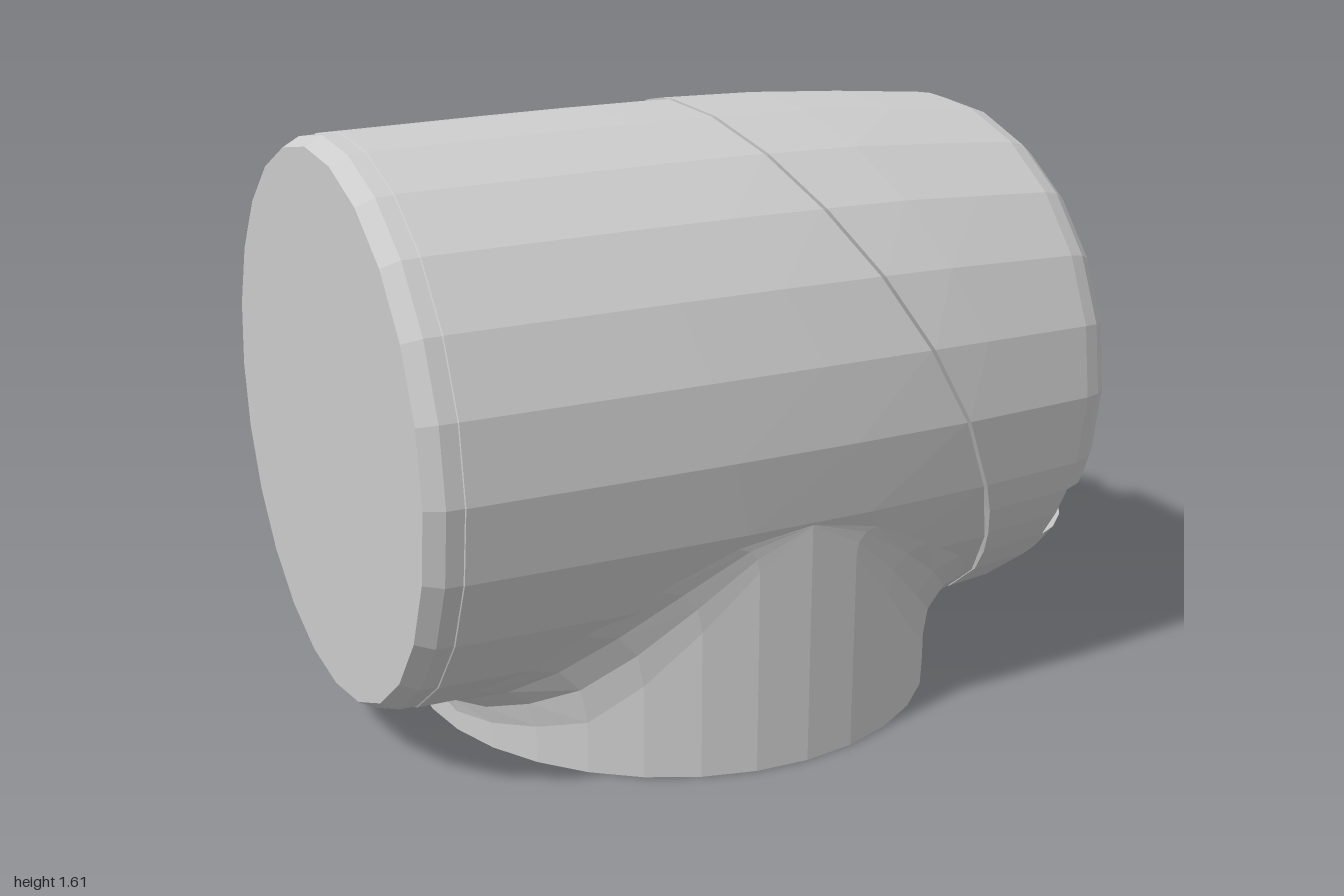
import * as THREE from 'three';

const CY = 0.845, GAP = 0.012, BASE_R = 0.735;
const lerp = THREE.MathUtils.lerp;

// piecewise linear lookup through [key, value] pairs
function lookup(points, k) {
  let i = 1;
  while (i < points.length - 1 && k > points[i][0]) i++;
  const [a, b] = [points[i - 1], points[i]];
  return lerp(a[1], b[1], (k - a[0]) / (b[0] - a[0]));
}
const bodyRadius = x => lookup([[-0.91, 0.735], [-0.3, 0.757], [0, 0.764], [0.4, 0.764], [0.87, 0.735]], x);
const seamX = y => lookup([[0.08, 0.75], [0.3, 0.68], [0.55, 0.58], [0.9, 0.42], [1.2, 0.25], [1.61, 0]], y);

// surface through columns of points; each column has the same number of rows
function skin(name, columns, material) {
  const rows = columns[0].length, index = [];
  for (let i = 0; i < columns.length - 1; i++)
    for (let j = 0; j < rows - 1; j++) {
      const a = i * rows + j, b = a + rows;
      index.push(a, b, a + 1, b, b + 1, a + 1);
    }
  const geometry = new THREE.BufferGeometry();
  geometry.setAttribute('position', new THREE.Float32BufferAttribute(columns.flat(2), 3));
  geometry.setIndex(index);
  geometry.computeVertexNormals();
  const mesh = new THREE.Mesh(geometry, material);
  mesh.name = name;
  return mesh;
}

// turn [x, radius] pairs into points at one angle around the horizontal axis
const around = (t, profile) => profile.map(([x, r]) => [x, CY + r * Math.cos(t), r * Math.sin(t)]);
const alongBody = (x0, x1, steps) => Array.from({ length: steps + 1 }, (_, i) => {
  const x = lerp(x0, x1, i / steps);
  return [x, bodyRadius(x)];
});

export function createModel() {
  const group = new THREE.Group();
  const material = new THREE.MeshStandardMaterial({ color: 0xcccccc, flatShading: true, side: THREE.DoubleSide });
  const SIDES = 24;
  const angles = Array.from({ length: SIDES + 1 }, (_, i) => -Math.PI + (i / SIDES) * Math.PI * 2);
  const seamAt = t => seamX(CY + 0.764 * Math.cos(t));

  // main housing: bevelled closed end, barrel, slanted seam wall
  group.add(skin('housing', angles.map(t => {
    const s = seamAt(t);
    return around(t, [[-1, 0], [-1, 0.705], [-0.955, 0.73], [-0.912, 0.732],
      ...alongBody(-0.91, s, 4), [s, bodyRadius(s) - 0.05], [seamX(CY), 0]]);
  }), material));

  // end cap: rounded rim with three screw pockets cut into it
  const pockets = [-2.08, -0.21, 2.08], half = 0.125;
  const inPocket = t => pockets.some(p => Math.abs(t - p) < half + 0.04);
  const stops = angles.filter(t => !inPocket(t)).map(t => [t, false]);
  for (const p of pockets)
    stops.push([p - half, false], [p - half + 1e-5, true], [p, true], [p + half - 1e-5, true], [p + half, false]);
  stops.sort((a, b) => a[0] - b[0]);
  const rim = [[0.92, 0.72], [0.967, 0.685], [1, 0.62], [1, 0.55], [0.985, 0.53], [0.985, 0]];
  const pocketRim = [[0.87, 0.7], [0.87, 0.65], [0.87, 0.55], [0.985, 0.55], [0.985, 0.53], [0.985, 0]];
  group.add(skin('endCap', stops.map(([t, cut]) => {
    const s = seamAt(t) + GAP;
    return around(t, [[seamX(CY) + GAP, 0], [s, bodyRadius(s) - 0.05],
      ...alongBody(s, 0.87, 3), ...(cut ? pocketRim : rim)]);
  }), material));

  // square screw heads in the pockets
  for (const p of pockets) {
    const screw = new THREE.Mesh(new THREE.CylinderGeometry(0.045, 0.06, 0.07, 4), material);
    screw.name = 'screw';
    screw.rotation.z = -Math.PI / 2;
    screw.position.set(0.9, CY + 0.62 * Math.cos(p), 0.62 * Math.sin(p));
    group.add(screw);
  }

  // round base, flowing into the underside of the barrel with a fillet
  const underside = (x, z) => CY - Math.sqrt(Math.max(0, bodyRadius(x) ** 2 - z * z));
  const columns = [];
  for (let i = 0; i <= 32; i++) {
    const a = (i / 32) * Math.PI * 2;
    const x = BASE_R * Math.cos(a), z = -BASE_R * Math.sin(a);
    const wide = 0.03 * Math.abs(Math.cos(a)) + 0.15 * Math.abs(Math.sin(2 * a));
    const join = underside(x, z);
    const low = join - Math.min(wide, join * 0.55);
    let xo = x + Math.sign(x) * wide;
    xo = Math.min(xo, Math.max(x, seamX(underside(xo, z)) - 0.005));
    const yo = underside(xo, z) + 0.005;
    const fillet = [0, 0.33, 0.67, 1].map(t => {
      const u = (1 - t) ** 2, v = 2 * t * (1 - t), w = t * t;
      return [u * x + v * x + w * xo, u * low + v * join + w * yo, z];
    });
    columns.push([[0, 0, 0], [x, 0, z], ...fillet]);
  }
  group.add(skin('base', columns, material));

  return group;
}
